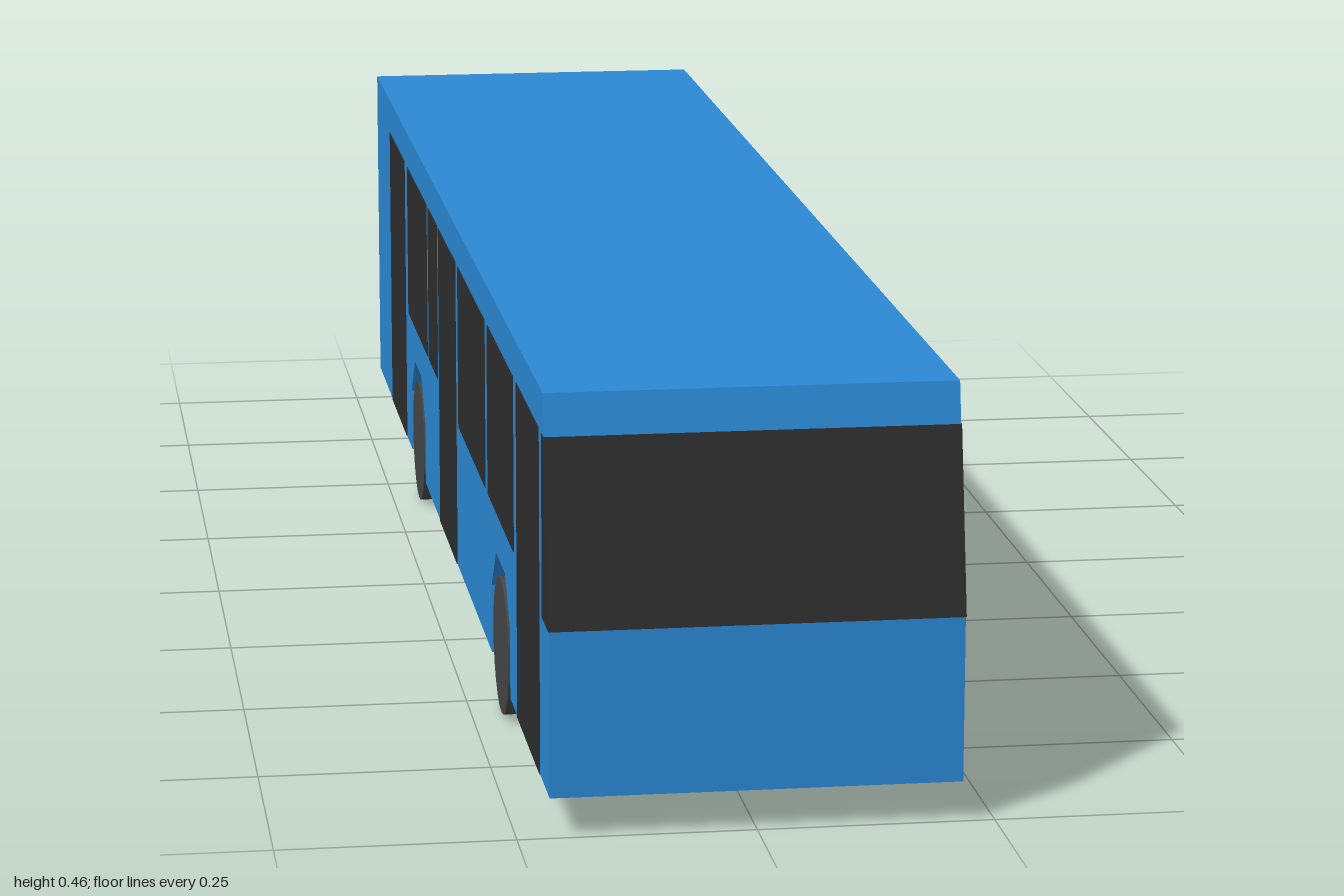
import * as THREE from 'three';

const HALF = 0.216, FLOOR = 0.043, SILL = 0.22, HEAD = 0.415, ROOF = 0.459;
const INNER = 0.15;                 // inner wall of the wheel arches
const AXLES = [0.547, -0.422];
const SKIN = 0.0008;                // how far the glass stands proud

const paint = (color) => new THREE.MeshStandardMaterial({ color, flatShading: true });

// Extrudes a side profile of [z, y] points across the width from x0 to x1
function across(points, x0, x1, material, name) {
  const shape = new THREE.Shape(points.map(([z, y]) => new THREE.Vector2(z, y)));
  const geometry = new THREE.ExtrudeGeometry(shape, { depth: x1 - x0, bevelEnabled: false });
  geometry.rotateY(-Math.PI / 2).translate(x1, 0, 0);
  const mesh = new THREE.Mesh(geometry, material);
  mesh.name = name;
  return mesh;
}

export function createModel() {
  const bus = new THREE.Group();
  bus.name = 'bus';
  const blue = paint(0x2b88d4), glass = paint(0x2d2d2d), rubber = paint(0x464646);

  // Body: full core plus two outer slabs notched by octagonal wheel arches
  const upper = [[1, FLOOR], [1, SILL], [0.952, ROOF], [-1, ROOF], [-1, FLOOR]];
  const arches = [...AXLES].reverse().flatMap((z) => [
    [z - 0.092, FLOOR], [z - 0.092, 0.122], [z - 0.045, 0.172],
    [z + 0.045, 0.172], [z + 0.092, 0.122], [z + 0.092, FLOOR],
  ]);
  bus.add(across(upper, -INNER, INNER, blue, 'bodyCore'));
  bus.add(across([...upper, ...arches], INNER, HALF, blue, 'leftBodySide'));
  bus.add(across([...upper, ...arches], -HALF, -INNER, blue, 'rightBodySide'));

  // Sloping windscreen that wraps round to the side quarter windows
  const slope = (y) => 1 - 0.048 * (y - SILL) / (ROOF - SILL) + SKIN;
  bus.add(across(
    [[0.943, SILL], [slope(SILL), SILL], [slope(HEAD), HEAD], [0.943, HEAD]],
    -HALF - SKIN, HALF + SKIN, glass, 'windscreen'));

  // Doors and windows as [name, front z, rear z, bottom y], the same on both sides
  const panes = [
    ['frontDoor', 0.917, 0.713, FLOOR], ['frontWindow', 0.682, 0.424, SILL],
    ['middleWindow', 0.398, 0.1, SILL], ['middleDoor', 0.072, -0.134, FLOOR],
    ['smallWindow', -0.152, -0.266, SILL], ['rearWindow', -0.286, -0.546, SILL],
    ['rearDoor', -0.586, -0.8, FLOOR],
  ];
  for (const [name, z1, z0, y] of panes) {
    for (const side of [-1, 1]) {
      const pane = new THREE.Mesh(new THREE.BoxGeometry(0.004, HEAD - y, z1 - z0), glass);
      pane.position.set(side * (HALF + SKIN - 0.002), (HEAD + y) / 2, (z0 + z1) / 2);
      pane.name = name;
      bus.add(pane);
    }
  }

  // Wheels
  const wheelGeometry = new THREE.CylinderGeometry(0.077, 0.077, 0.06, 24).rotateZ(Math.PI / 2);
  for (const z of AXLES) {
    for (const side of [-1, 1]) {
      const wheel = new THREE.Mesh(wheelGeometry, rubber);
      wheel.position.set(side * (HALF - 0.03), 0.077, z);
      wheel.name = z > 0 ? 'frontWheel' : 'rearWheel';
      bus.add(wheel);
    }
  }
  return bus;
}
